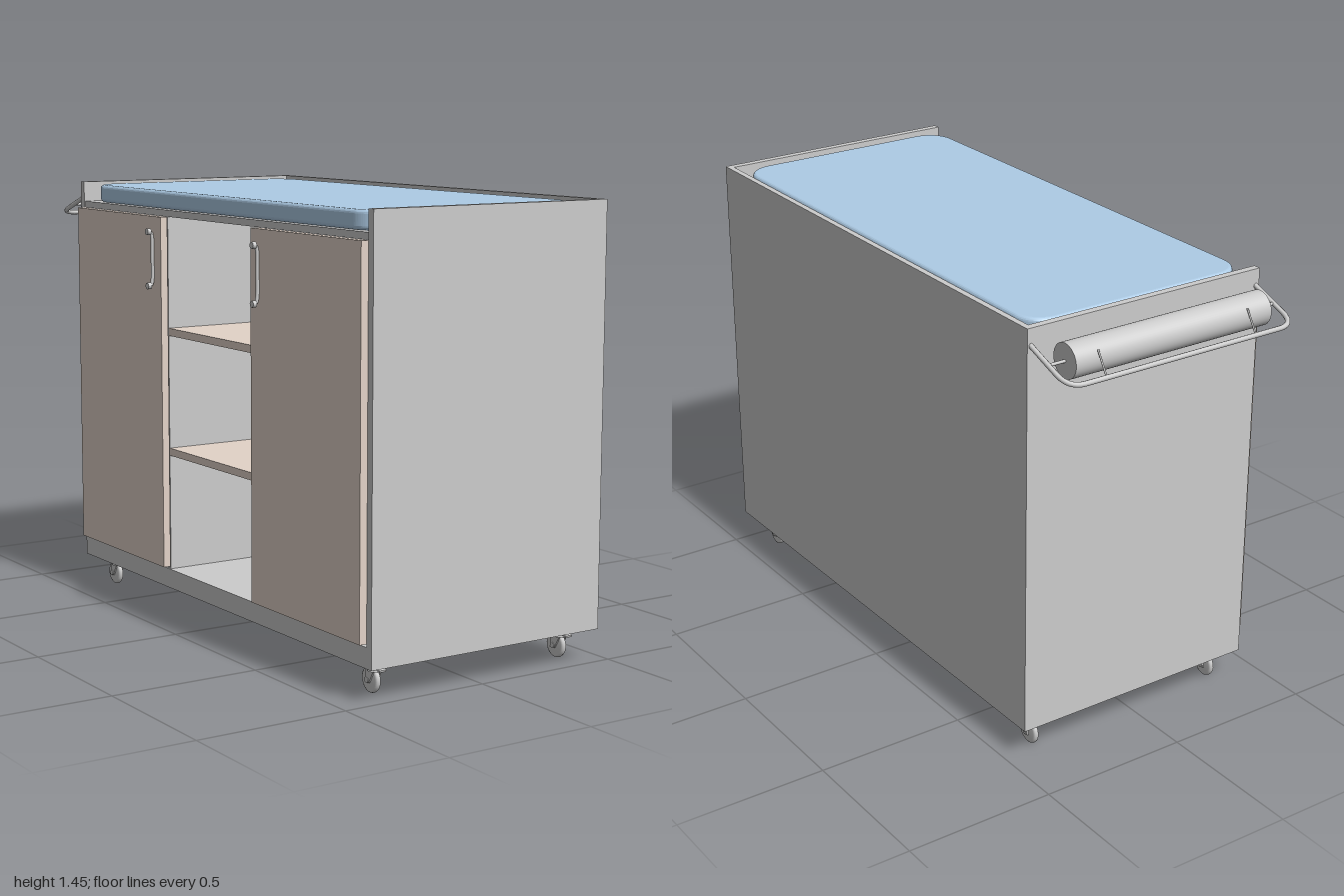
import * as THREE from 'three';
import { RoundedBoxGeometry } from 'three/addons/geometries/RoundedBoxGeometry.js';

const material = (color) => new THREE.MeshStandardMaterial({ color, side: THREE.DoubleSide });

export function createModel() {
  const model = new THREE.Group();
  const grey = material(0xcccccc), wood = material(0xe3d3c8), blue = material(0xaecce6);

  const add = (name, geometry, mat = grey, parent = model) => {
    const mesh = new THREE.Mesh(geometry, mat);
    mesh.name = name;
    parent.add(mesh);
    return mesh;
  };
  // Box given by its low and high corners
  const box = (name, [x0, y0, z0], [x1, y1, z1], mat, parent) => {
    const mesh = add(name, new THREE.BoxGeometry(x1 - x0, y1 - y0, z1 - z0), mat, parent);
    mesh.position.set((x0 + x1) / 2, (y0 + y1) / 2, (z0 + z1) / 2);
    return mesh;
  };
  // Cylinder lying along x
  const rod = (name, radius, x0, x1, y, z, parent, mat = grey, sides = 32) => {
    const mesh = add(name, new THREE.CylinderGeometry(radius, radius, x1 - x0, sides).rotateZ(Math.PI / 2), mat, parent);
    mesh.position.set((x0 + x1) / 2, y, z);
    return mesh;
  };
  const v = (x, y, z) => new THREE.Vector3(x, y, z);

  // Cabinet shell, open on the -x side
  box('base', [-0.41, 0.105, -0.785], [0.435, 0.17, 0.975]);
  box('longWall', [0.435, 0.105, -0.785], [0.455, 1.45, 0.975]);
  box('frontWall', [-0.41, 0.105, 0.975], [0.455, 1.45, 1.0]);
  box('rearWall', [-0.41, 0.105, -0.81], [0.455, 1.45, -0.785]);
  box('deck', [-0.405, 1.36, -0.785], [0.435, 1.382, 0.975]);
  box('rearPartition', [-0.405, 0.17, -0.22], [0.435, 1.36, -0.195]);
  box('frontPartition', [-0.405, 0.17, 0.385], [0.435, 1.36, 0.41]);

  // Open shelves in the middle bay
  for (const y of [0.585, 0.99])
    box('shelf', [-0.405, y - 0.025, -0.195], [0.435, y, 0.385], wood);

  // Doors and their pulls
  for (const [z0, z1, pullZ] of [[-0.785, -0.19, -0.24], [0.375, 0.975, 0.422]]) {
    box('door', [-0.435, 0.18, z0], [-0.41, 1.36, z1], wood);
    const path = new THREE.CatmullRomCurve3([
      v(-0.456, 1.308, pullZ), v(-0.445, 1.307, pullZ), v(-0.44, 1.29, pullZ), v(-0.439, 1.22, pullZ),
      v(-0.44, 1.15, pullZ), v(-0.445, 1.133, pullZ), v(-0.456, 1.132, pullZ)]);
    add('doorPull', new THREE.TubeGeometry(path, 40, 0.006, 10));
    for (const y of [1.31, 1.13])
      rod('pullFoot', 0.011, -0.46, -0.447, y, pullZ, model, grey, 16);
  }

  // Mattress with rounded corners and softened edges
  const bevel = 0.012, hx = 0.4 - bevel, hz = 0.86 - bevel, r = 0.08;
  const outline = new THREE.Shape();
  outline.moveTo(hx, -hz + r);
  outline.absarc(hx - r, hz - r, r, 0, Math.PI / 2);
  outline.absarc(-hx + r, hz - r, r, Math.PI / 2, Math.PI);
  outline.absarc(-hx + r, -hz + r, r, Math.PI, Math.PI * 1.5);
  outline.absarc(hx - r, -hz + r, r, Math.PI * 1.5, Math.PI * 2);
  const pad = new THREE.ExtrudeGeometry(outline, {
    depth: 0.036, bevelThickness: bevel, bevelSize: bevel, bevelSegments: 4, curveSegments: 12 });
  add('mattress', pad.rotateX(-Math.PI / 2), blue).position.set(0.01, 1.382 + bevel, 0.095);

  // Sloping rear push rail with rounded corners
  const slopeY = (z) => 1.395 + (z + 0.81) * 0.36;
  const at = (x, z) => v(x, slopeY(z), z);
  const rail = new THREE.CurvePath();
  const xl = -0.397, xr = 0.442, zb = -0.992, c = 0.06;
  rail.add(new THREE.LineCurve3(at(xl, -0.8), at(xl, zb + c)));
  rail.add(new THREE.QuadraticBezierCurve3(at(xl, zb + c), at(xl, zb), at(xl + c, zb)));
  rail.add(new THREE.LineCurve3(at(xl + c, zb), at(xr - c, zb)));
  rail.add(new THREE.QuadraticBezierCurve3(at(xr - c, zb), at(xr, zb), at(xr, zb + c)));
  rail.add(new THREE.LineCurve3(at(xr, zb + c), at(xr, -0.8)));
  add('pushRail', new THREE.TubeGeometry(rail, 120, 0.008, 10));

  // Paper roll on its spindle, with two guide wires
  rod('paperRoll', 0.055, -0.34, 0.385, 1.365, -0.895, model, grey, 48);
  rod('rollSpindle', 0.005, -0.397, 0.442, 1.365, -0.895, model, grey, 12);
  for (const x of [-0.245, 0.308]) {
    const wire = new THREE.LineCurve3(v(x, 1.4, -0.948), v(x, 1.332, -0.99));
    add('guideWire', new THREE.TubeGeometry(wire, 1, 0.003, 8));
  }

  // Swivel casters
  for (const x of [-0.333, 0.38]) for (const z of [0.89, -0.73]) {
    const caster = new THREE.Group();
    caster.name = 'caster';
    caster.position.set(x, 0, z);
    model.add(caster);
    box('mountPlate', [-0.032, 0.097, -0.015], [0.032, 0.106, 0.062], grey, caster);
    const swivel = add('swivel', new THREE.CylinderGeometry(0.02, 0.024, 0.026, 24), grey, caster);
    swivel.position.set(0, 0.086, 0.018);
    const tyre = add('wheel', new RoundedBoxGeometry(0.02, 0.02, 0.02, 2, 0.004), grey, caster);
    tyre.geometry = new THREE.LatheGeometry([
      [0, -0.01], [0.034, -0.01], [0.04, -0.006], [0.042, 0], [0.04, 0.006], [0.034, 0.01], [0, 0.01],
    ].map(([a, b]) => new THREE.Vector2(a, b)), 32).rotateZ(Math.PI / 2);
    tyre.position.y = 0.042;
    rod('axle', 0.009, -0.019, 0.019, 0.042, 0, caster, grey, 16);
    // Fork cheeks taper from the swivel down to the axle
    const cheek = new THREE.Shape([[-0.012, 0.034], [0.01, 0.034], [0.036, 0.08], [0.034, 0.09], [-0.004, 0.09]]
      .map(([a, b]) => new THREE.Vector2(-a, b)));
    for (const side of [-0.017, 0.012]) {
      const geometry = new THREE.ExtrudeGeometry(cheek, { depth: 0.005, bevelEnabled: false });
      add('forkCheek', geometry.rotateY(Math.PI / 2), grey, caster).position.x = side;
    }
    box('brakePedal', [-0.012, 0.08, 0.035], [0.012, 0.087, 0.06], grey, caster).rotation.x = 0.3;
  }
  return model;
}
